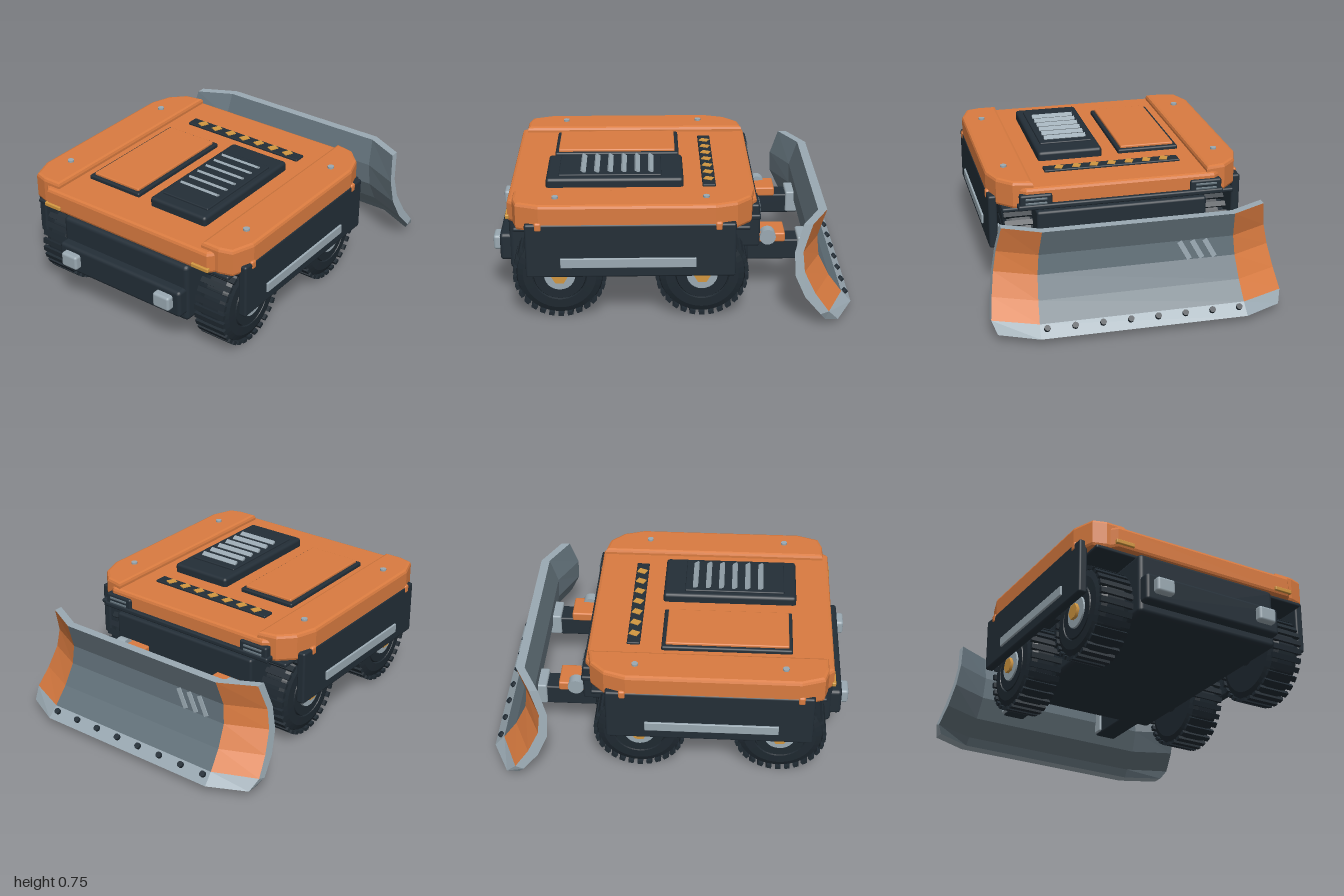
import * as THREE from 'three';
import { RoundedBoxGeometry } from 'three/addons/geometries/RoundedBoxGeometry.js';

const mat = (name, color) => {
  const m = new THREE.MeshStandardMaterial();
  m.color.set(color);
  m.name = name;
  return m;
};

export function createModel() {
  const orange = mat('orange paint', 0xd97b40);
  const dark = mat('dark body', 0x232e37);
  const rubber = mat('rubber', 0x1f2931);
  const steel = mat('light steel', 0x9aa9b2);
  const blade = mat('blade steel', 0x64737c);
  const amber = mat('amber', 0xd1963f);

  const model = new THREE.Group();
  const add = (name, geometry, material, x = 0, y = 0, z = 0, parent = model) => {
    const m = new THREE.Mesh(geometry, material);
    m.name = name;
    m.position.set(x, y, z);
    parent.add(m);
    return m;
  };
  // Rounded box given by its extents
  const box = (name, material, x0, x1, y0, y1, z0, z1, r = 0.01) => add(name,
    new RoundedBoxGeometry(x1 - x0, y1 - y0, z1 - z0, 2, r), material,
    (x0 + x1) / 2, (y0 + y1) / 2, (z0 + z1) / 2);
  // Bevelled slab from an x,z outline
  const slab = (name, material, pts, y0, y1, b) => {
    const shape = new THREE.Shape(pts.map(([x, z]) => new THREE.Vector2(x, -z)));
    const g = new THREE.ExtrudeGeometry(shape, {
      depth: y1 - y0 - 2 * b, bevelThickness: b, bevelSize: b, bevelOffset: -b, bevelSegments: 2,
    });
    g.rotateX(-Math.PI / 2);
    return add(name, g, material, 0, y0 + b, 0);
  };

  // Chassis
  box('chassis', dark, -0.43, 0.43, 0.19, 0.535, -0.43, 0.9, 0.025);
  box('rearChassis', dark, -0.48, 0.48, 0.34, 0.535, -0.49, -0.3, 0.015);
  box('frontBumper', dark, -0.42, 0.42, 0.24, 0.4, 0.86, 0.955, 0.02);
  box('underDeck', dark, -0.66, 0.66, 0.52, 0.545, -0.425, 0.855, 0.01);
  box('rearTrim', dark, -0.58, 0.58, 0.545, 0.575, -0.485, -0.42, 0.01);

  // Main deck
  slab('deck', orange, [[-0.53, -0.462], [0.53, -0.462], [0.585, -0.42], [0.585, 0.85],
    [0.55, 0.89], [-0.55, 0.89], [-0.585, 0.85], [-0.585, -0.42]], 0.54, 0.665, 0.018);

  for (const s of [-1, 1]) {
    const span = (a, b) => (s > 0 ? [a, b] : [-b, -a]);
    // Raised shoulders and side skirts
    slab('shoulder', orange, [[0.49, -0.45], [0.6, -0.43], [0.68, -0.35], [0.72, -0.23],
      [0.72, 0.71], [0.675, 0.835], [0.6, 0.857], [0.49, 0.857]].map(([x, z]) => [s * x, z]),
      0.54, 0.697, 0.018);
    box('sideSkirt', dark, ...span(0.675, 0.724), 0.28, 0.59, -0.343, 0.787, 0.012);
    box('sideStripe', steel, ...span(0.715, 0.735), 0.34, 0.395, -0.13, 0.6, 0.004);
    for (const z of [-0.25, 0.715]) {
      box('skirtClip', orange, ...span(0.69, 0.728), 0.55, 0.6, z - 0.02, z + 0.02, 0.012);
    }
    for (const z of [-0.185, 0.625]) {
      add('deckBolt', new THREE.CylinderGeometry(0.018, 0.018, 0.02, 12), steel, s * 0.61, 0.698, z);
    }
    // Lights
    box('headlight', steel, ...span(0.268, 0.376), 0.285, 0.37, 0.94, 0.995, 0.015);
    box('frontMarker', amber, ...span(0.455, 0.565), 0.556, 0.58, 0.88, 0.902, 0.005);
    box('tailLightHousing', dark, ...span(0.39, 0.57), 0.56, 0.632, -0.478, -0.43, 0.012);
    for (const y of [0.583, 0.608]) {
      box('tailLightSlat', blade, ...span(0.42, 0.54), y - 0.006, y + 0.006, -0.484, -0.47, 0.003);
    }
    // Blade arms
    box('bladeArm', dark, ...span(0.26, 0.392), 0.22, 0.34, -0.78, -0.4);
    box('armBracket', orange, ...span(0.245, 0.412), 0.335, 0.39, -0.638, -0.46);
    box('armCap', steel, ...span(0.248, 0.408), 0.23, 0.36, -0.78, -0.708);
    add('armPin', new THREE.CylinderGeometry(0.045, 0.045, 0.06, 20), steel, s * 0.395, 0.37, -0.54)
      .rotation.z = Math.PI / 2;
  }
  box('armCrossPlate', dark, -0.39, 0.39, 0.22, 0.3, -0.48, -0.4);

  // Deck lid
  box('lidFrame', dark, -0.435, -0.08, 0.64, 0.688, -0.055, 0.665);
  box('lid', orange, -0.413, -0.1, 0.65, 0.702, -0.032, 0.645, 0.007);

  // Vent hatch with slanted louvres
  box('ventHatch', dark, 0.018, 0.39, 0.64, 0.717, -0.07, 0.69, 0.018);
  box('ventTray', dark, 0.053, 0.355, 0.69, 0.728, 0.052, 0.62, 0.006);
  for (let i = 0; i < 6; i++) {
    add('louvre', new THREE.BoxGeometry(0.245, 0.013, 0.028), steel, 0.2, 0.735, 0.11 + i * 0.075)
      .rotation.x = -0.6;
  }

  // Warning strip with slanted amber marks
  box('warningStrip', dark, -0.392, 0.388, 0.64, 0.677, -0.248, -0.175, 0.006);
  for (let i = -3; i <= 3; i++) {
    add('warningMark', new THREE.BoxGeometry(0.042, 0.008, 0.05), amber, i * 0.101 - 0.003, 0.677, -0.212)
      .rotation.y = -0.42;
  }

  // Wheels: the axle runs along local y, outer side up
  const R = 0.255;
  const tyre = new THREE.LatheGeometry([[0, -0.095], [0.2, -0.095], [0.232, -0.08], [0.242, -0.05],
    [0.242, 0.05], [0.232, 0.08], [0.2, 0.095], [0.15, 0.098], [0.146, 0.088], [0.14, 0.099],
    [0.09, 0.099], [0.085, 0.08], [0, 0.08]].map(([r, y]) => new THREE.Vector2(r, y)), 40)
    .toNonIndexed();
  tyre.computeVertexNormals();
  const lug = new THREE.BoxGeometry(0.02, 0.19, 0.03);
  const rim = new THREE.CylinderGeometry(0.085, 0.088, 0.03, 24);
  const hub = new THREE.CylinderGeometry(0.045, 0.045, 0.03, 6);
  for (const s of [-1, 1]) for (const z of [0.612, -0.165]) {
    const wheel = new THREE.Group();
    wheel.name = 'wheel';
    wheel.position.set(s * 0.542, R, z);
    wheel.rotation.z = -s * Math.PI / 2;
    model.add(wheel);
    add('tyre', tyre, rubber, 0, 0, 0, wheel);
    for (let i = 0; i < 30; i++) {
      const a = i / 30 * Math.PI * 2;
      add('treadLug', lug, rubber, Math.cos(a) * (R - 0.01), 0, Math.sin(a) * (R - 0.01), wheel)
        .rotation.y = -a;
    }
    add('rim', rim, steel, 0, 0.091, 0, wheel);
    add('hub', hub, amber, 0, 0.109, 0, wheel);
    add('axle', new THREE.CylinderGeometry(0.05, 0.05, 0.15, 12), dark, 0, -0.14, 0, wheel);
  }

  // Plough blade: z,y profiles swept through four columns, wings set back
  const front = [[-1, 0.04], [-0.945, 0.1], [-0.87, 0.2], [-0.81, 0.32], [-0.8, 0.43], [-0.85, 0.58]];
  const back = [[-0.93, 0.04], [-0.9, 0.085], [-0.815, 0.18], [-0.76, 0.3], [-0.755, 0.43], [-0.8, 0.58]];
  const loop = [...front, ...back.slice().reverse()];
  const point = (c, [z, y]) => {
    const end = y < 0.08 ? 0.775 + (y - 0.04) * 0.6 : 0.8 - (y - 0.1) * 0.17;
    const fold = 0.568 - y * 0.08;
    return [[-end, y, z + 0.1], [-fold, y, z], [fold, y, z], [end, y, z + 0.1]][c];
  };
  const faces = new Map([[orange, []], [steel, []], [blade, []]]);
  const quad = (m, a, b, c, d) => faces.get(m).push(...a, ...b, ...c, ...a, ...c, ...d);
  for (let c = 0; c < 3; c++) loop.forEach((p, k) => {
    const q = loop[(k + 1) % loop.length];
    let m = blade;
    if (k === 0 || k === 5 || k === 11) m = steel;
    else if (k < 5 && c !== 1) m = orange;
    quad(m, point(c, p), point(c, q), point(c + 1, q), point(c + 1, p));
  });
  for (let i = 0; i < 5; i++) {
    quad(steel, point(3, back[i]), point(3, front[i]), point(3, front[i + 1]), point(3, back[i + 1]));
    quad(steel, point(0, back[i + 1]), point(0, front[i + 1]), point(0, front[i]), point(0, back[i]));
  }
  const names = new Map([[orange, 'bladeWings'], [steel, 'bladeEdges'], [blade, 'bladePlate']]);
  for (const [m, list] of faces) {
    const g = new THREE.BufferGeometry();
    g.setAttribute('position', new THREE.Float32BufferAttribute(list, 3));
    g.computeVertexNormals();
    add(names.get(m), g, m);
  }

  // Blade bolts and slanted marks
  for (let i = 0; i < 8; i++) {
    add('bladeBolt', new THREE.CylinderGeometry(0.017, 0.017, 0.024, 10), dark,
      -0.525 + i * 0.15, 0.083, -0.968).rotation.x = -0.75;
  }
  for (let i = -1; i <= 1; i++) {
    const mark = add('bladeMark', new THREE.BoxGeometry(0.028, 0.115, 0.008), steel,
      -0.33 + i * 0.07, 0.375, -0.806);
    mark.rotation.set(0.09, 0, -0.5);
  }
  return model;
}
